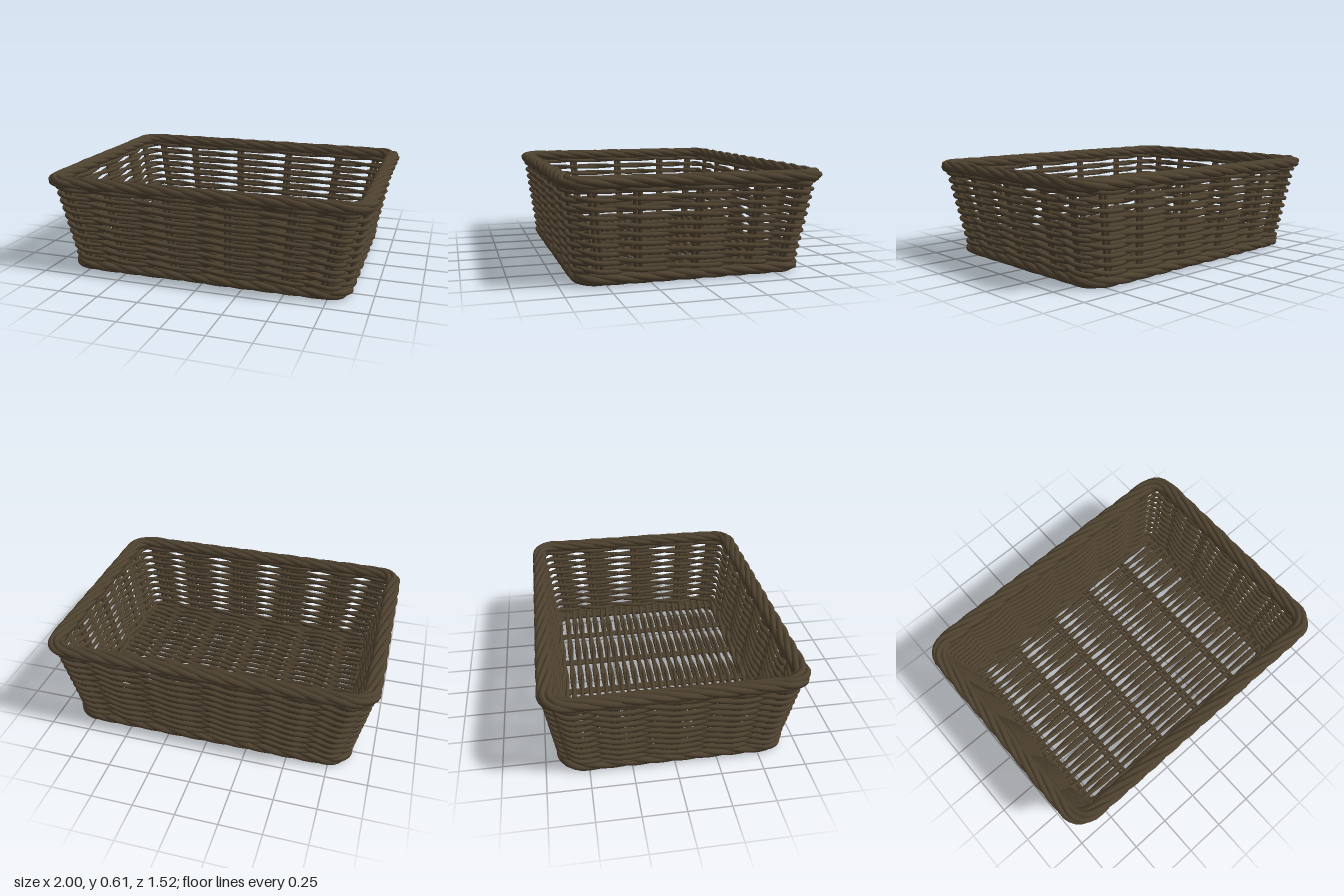
import * as THREE from 'three';
import { mergeGeometries } from 'three/addons/utils/BufferGeometryUtils.js';

const CORNER = 0.11;
const X_STAKES = [0.91, 0.6, 0.2]; // stake positions as a fraction of half width
const Z_STAKES = [0, 0.5, 0.9];    // and of half depth

let seed = 7;
const jitter = (a) => {
  seed = (seed * 16807) % 2147483647;
  return (seed / 2147483647 * 2 - 1) * a;
};

// A curve given directly by a function of 0..1
class FnCurve extends THREE.Curve {
  constructor(fn) { super(); this.fn = fn; }
  getPoint(t) { return this.fn(t); }
  getPointAt(t) { return this.fn(t); }
  getTangentAt(t) { return this.getTangent(t); }
}
const strand = (fn, segments, radius, closed = false, sides = 6) =>
  new THREE.TubeGeometry(new FnCurve(fn), segments, radius, sides, closed);

// Half sizes of the flared wall at a height
const halfSize = (y) => {
  const t = (y - 0.04) / 0.53;
  return [0.84 + 0.107 * t, 0.64 + 0.068 * t];
};

// Rounded rectangle walked by arc length from (+x, z = 0) towards +z
function outline(hx, hz) {
  const lx = hx - CORNER, lz = hz - CORNER, arc = CORNER * Math.PI / 2;
  const quarter = lz + arc + lx;
  // point in the first quarter: x, z and outward normal
  const first = (s) => {
    if (s < lz) return [hx, s, 1, 0];
    if (s < lz + arc) {
      const a = (s - lz) / CORNER, c = Math.cos(a), n = Math.sin(a);
      return [lx + CORNER * c, lz + CORNER * n, c, n];
    }
    return [lx - (s - lz - arc), hz, 0, 1];
  };
  const at = (s) => {
    s = ((s % (4 * quarter)) + 4 * quarter) % (4 * quarter);
    const q = Math.min(3, Math.floor(s / quarter)), r = s - q * quarter;
    const [x, z, nx, nz] = first(q % 2 ? quarter - r : r);
    const sx = q === 1 || q === 2 ? -1 : 1, sz = q > 1 ? -1 : 1;
    return [x * sx, z * sz, nx * sx, nz * sz];
  };
  // arc lengths of all the stakes, in order around the loop
  const one = [
    ...Z_STAKES.map((f) => Math.min(f * hz, lz)),
    ...X_STAKES.map((f) => lz + arc + lx - Math.min(f * hx, lx)),
  ];
  const half = [...one, ...one.slice(1).reverse().map((s) => 2 * quarter - s)];
  const stakes = [...half, ...half.map((s) => s + 2 * quarter)];
  return { at, stakes, length: 4 * quarter };
}

// Two strands twining around the stakes at one height
function wallRow(y, flip) {
  const o = outline(...halfSize(y)), n = o.stakes.length;
  const marks = [...o.stakes, o.length];
  return [0, 1].map((k) => strand((t) => {
    const u = t * n, i = Math.min(n - 1, Math.floor(u));
    const s = marks[i] + (marks[i + 1] - marks[i]) * (u - i);
    const [x, z, nx, nz] = o.at(s);
    const phase = Math.PI * (u + k + flip);
    const out = 0.024 * Math.cos(phase);
    return new THREE.Vector3(x + nx * out, y + 0.007 * Math.sin(phase), z + nz * out);
  }, n * 8, 0.0135, true));
}

// Twisted border rope
function rope(y, hx, hz, turns) {
  const o = outline(hx, hz), parts = [], count = 5;
  for (let k = 0; k < count; k++) {
    parts.push(strand((t) => {
      const [x, z, nx, nz] = o.at(t * o.length);
      const a = 2 * Math.PI * (t * turns + k / count);
      const out = 0.03 * Math.cos(a);
      return new THREE.Vector3(x + nx * out, y + 0.018 * Math.sin(a), z + nz * out);
    }, 220, 0.0205, true));
  }
  return parts;
}

// Straight rod between two points
const rod = (a, b, radius) => strand((t) => a.clone().lerp(b, t), 1, radius);

export function createModel() {
  const group = new THREE.Group();
  const wicker = new THREE.MeshStandardMaterial({ color: 0x4f4230 });
  wicker.name = 'darkWicker';
  const add = (name, parts) => {
    const mesh = new THREE.Mesh(mergeGeometries(parts), wicker);
    mesh.name = name;
    group.add(mesh);
  };

  // Borders
  add('rimRope', rope(0.571, 0.95, 0.71, 9));
  add('footRope', rope(0.0385, 0.834, 0.632, 8));

  // Woven wall rows
  const rows = [];
  for (let i = 0; i < 10; i++) rows.push(...wallRow(0.085 + i * 0.0495, i % 2));
  add('wallWeave', rows);

  // Paired upright stakes
  const low = outline(...halfSize(0.03)), high = outline(...halfSize(0.57)), uprights = [];
  low.stakes.forEach((s, i) => {
    const [x0, z0, nx, nz] = low.at(s), [x1, z1] = high.at(high.stakes[i]);
    for (const d of [-0.0135, 0.0135]) {
      uprights.push(rod(
        new THREE.Vector3(x0 - nz * d, 0.03, z0 + nx * d),
        new THREE.Vector3(x1 - nz * d, 0.57, z1 + nx * d), 0.0135));
    }
  });
  add('wallStakes', uprights);

  // Paired base stakes running front to back
  const baseY = 0.046, ribs = [];
  const ribX = [-0.79, -0.5, -0.165, 0.165, 0.5, 0.79];
  for (const x of ribX) {
    for (const d of [-0.0135, 0.0135]) {
      ribs.push(rod(new THREE.Vector3(x + d, baseY, -0.64), new THREE.Vector3(x + d, baseY, 0.64), 0.0125));
    }
  }
  add('baseStakes', ribs);

  // Base rows twining over and under the base stakes
  const base = [], count = 24, marks = [-1.1, ...ribX, 1.1];
  for (let i = 0; i < count; i++) {
    const z0 = -0.595 + 1.19 * i / (count - 1), drift = jitter(0.006), bow = jitter(0.006);
    for (let k = 0; k < 2; k++) {
      base.push(strand((t) => {
        const x = -0.825 + 1.65 * t;
        let j = 0;
        while (j < marks.length - 2 && x > marks[j + 1]) j++;
        const u = j + (x - marks[j]) / (marks[j + 1] - marks[j]);
        const phase = Math.PI * (u + k + i % 2);
        const z = z0 + drift * (2 * t - 1) + bow * Math.sin(t * 5) + 0.008 * Math.sin(phase);
        return new THREE.Vector3(x, baseY + 0.022 * Math.cos(phase), z);
      }, 44, 0.0135));
    }
  }
  add('baseWeave', base);

  return group;
}
